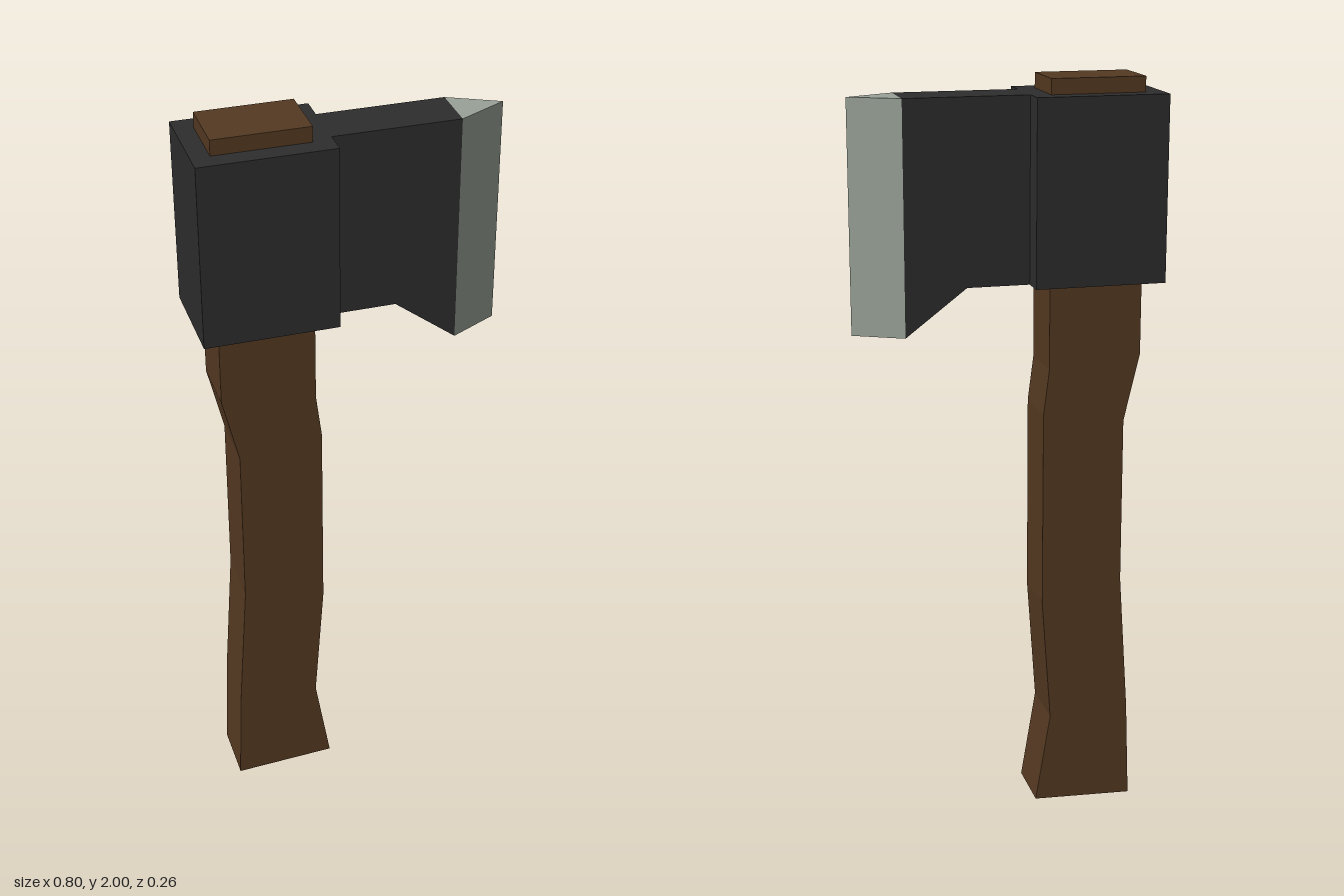
import * as THREE from 'three';

const mat = (name, color) => {
  const m = new THREE.MeshStandardMaterial({ color });
  m.name = name;
  return m;
};

// Flat outline pushed out symmetrically along its own z axis
function slab(name, points, depth, material) {
  const shape = new THREE.Shape(points.map(([x, y]) => new THREE.Vector2(x, y)));
  const geometry = new THREE.ExtrudeGeometry(shape, { depth, bevelEnabled: false });
  geometry.translate(0, 0, -depth / 2);
  const mesh = new THREE.Mesh(geometry, material);
  mesh.name = name;
  return mesh;
}

export function createModel() {
  const wood = mat('brown wood', 0x543921);
  const iron = mat('dark iron', 0x2d2d2d);
  const steel = mat('sharpened steel', 0x98a197);

  const axe = new THREE.Group();
  axe.name = 'axe';

  // Curved handle, running up through the head
  axe.add(slab('handle', [
    [-0.345, 0], [-0.075, 0.012], [-0.115, 0.26], [-0.09, 0.6],
    [-0.09, 1.13], [-0.105, 1.25], [-0.105, 2], [-0.352, 2],
    [-0.352, 1.28], [-0.31, 1.1], [-0.31, 0.65], [-0.335, 0.27],
  ], 0.16, wood));

  // Thick socket around the handle
  const top = 1.96, bottom = 1.478;
  const socket = new THREE.Mesh(new THREE.BoxGeometry(0.345, top - bottom, 0.26), iron);
  socket.name = 'headSocket';
  socket.position.set(-0.2275, (top + bottom) / 2, 0);
  axe.add(socket);

  // Thinner cheek that drops toward the cutting edge
  const beard = 1.355, edgeX = 0.272;
  axe.add(slab('headCheek', [
    [-0.055, bottom], [0.11, bottom], [edgeX, beard], [edgeX, top], [-0.055, top],
  ], 0.13, iron));

  // Wedge-shaped cutting edge, a triangle extruded upright
  const edge = slab('cuttingEdge', [[edgeX, -0.065], [0.4, 0], [edgeX, 0.065]], top - beard, steel);
  edge.rotation.x = -Math.PI / 2;
  edge.position.y = (top + beard) / 2;
  axe.add(edge);

  return axe;
}
